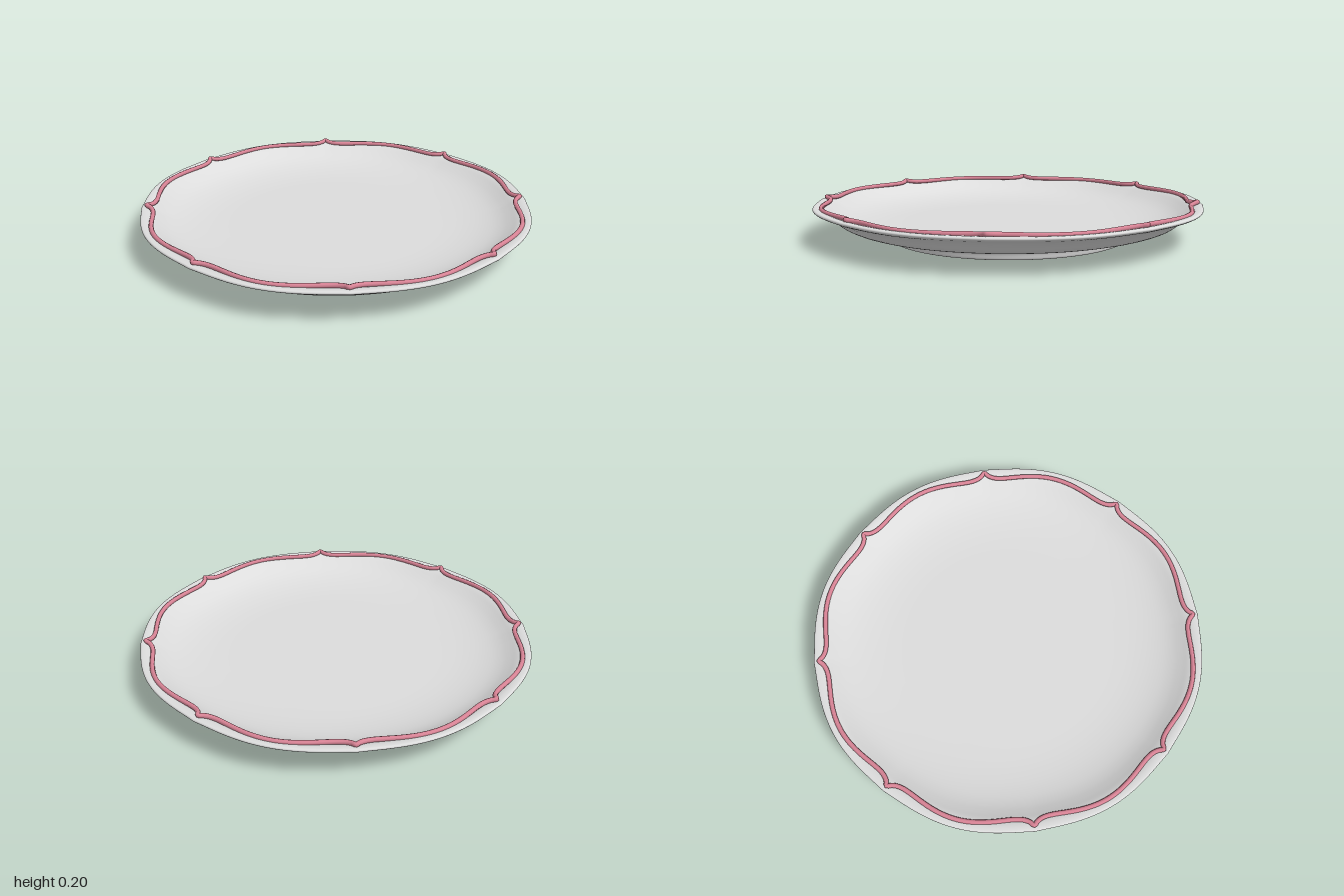
import * as THREE from 'three';
import { mergeVertices } from 'three/addons/utils/BufferGeometryUtils.js';

// angle to the nearest of the eight rim points, in degrees (0 to 22.5)
const fromPoint = (a) => {
  const d = ((THREE.MathUtils.radToDeg(a) % 45) + 45) % 45;
  return Math.min(d, 45 - d);
};
const lobe = (a) => Math.sin(4 * a) ** 2;
const spline = (pts, n) =>
  new THREE.SplineCurve(pts.map(([x, y]) => new THREE.Vector2(x, y))).getPoints(n);

// lathed surface whose outer part swells into eight shallow lobes
function lobedLathe(profile) {
  let g = new THREE.LatheGeometry(profile, 192);
  g.deleteAttribute('uv');
  g.deleteAttribute('normal');
  const p = g.attributes.position;
  for (let i = 0; i < p.count; i++) {
    const x = p.getX(i), z = p.getZ(i);
    const a = Math.atan2(x, z);
    const w = THREE.MathUtils.smoothstep(Math.hypot(x, z), 0.72, 1);
    const s = 1 + w * (0.013 * lobe(a) + 0.006 * Math.exp(-fromPoint(a) / 3) - 0.006);
    p.setX(i, x * s);
    p.setZ(i, z * s);
  }
  g = mergeVertices(g, 1e-5);
  g.computeVertexNormals();
  return g;
}

export function createModel() {
  const group = new THREE.Group();
  group.name = 'plate';
  const glaze = new THREE.MeshStandardMaterial({ color: 0xdcdcdc });
  glaze.name = 'pale glaze';
  const pink = new THREE.MeshStandardMaterial({ color: 0xd98496 });
  pink.name = 'rose pink';
  const add = (name, geometry, material) => {
    const mesh = new THREE.Mesh(geometry, material);
    mesh.name = name;
    group.add(mesh);
  };

  // recessed base inside the foot ring
  add('base', lobedLathe([[0, 0.04], [0.3, 0.04], [0.575, 0.04]].map(([x, y]) => new THREE.Vector2(x, y))), glaze);

  // inner wall and lip of the foot ring
  add('footInside', lobedLathe(spline([[0.575, 0.04], [0.588, 0.02], [0.597, 0.003], [0.602, 0]], 8)), glaze);

  // outer wall of the foot, underside, rolled rim and dished top
  add('body', lobedLathe([
    ...spline([[0.602, 0], [0.615, 0.005], [0.622, 0.03], [0.636, 0.048], [0.67, 0.057],
      [0.74, 0.064], [0.81, 0.073], [0.86, 0.092], [0.9, 0.122], [0.94, 0.146],
      [0.98, 0.16], [0.997, 0.169], [1, 0.177], [0.992, 0.183], [0.965, 0.181],
      [0.935, 0.17], [0.9, 0.149], [0.86, 0.128], [0.81, 0.11], [0.74, 0.095],
      [0.65, 0.085], [0.55, 0.081]], 84),
    new THREE.Vector2(0.3, 0.08), new THREE.Vector2(0, 0.08),
  ]), glaze);

  // raised pink line with eight small cusps
  const points = [];
  for (let i = 0; i < 360; i++) {
    const a = (i / 360) * Math.PI * 2;
    const cusp = Math.exp(-fromPoint(a) / 2.2);
    const r = 0.925 + 0.04 * lobe(a) + 0.047 * cusp;
    points.push(new THREE.Vector3(r * Math.sin(a), 0.183 + 0.01 * cusp, r * Math.cos(a)));
  }
  const path = new THREE.CatmullRomCurve3(points, true);
  add('rimLine', new THREE.TubeGeometry(path, 720, 0.012, 8, true), pink);

  return group;
}
